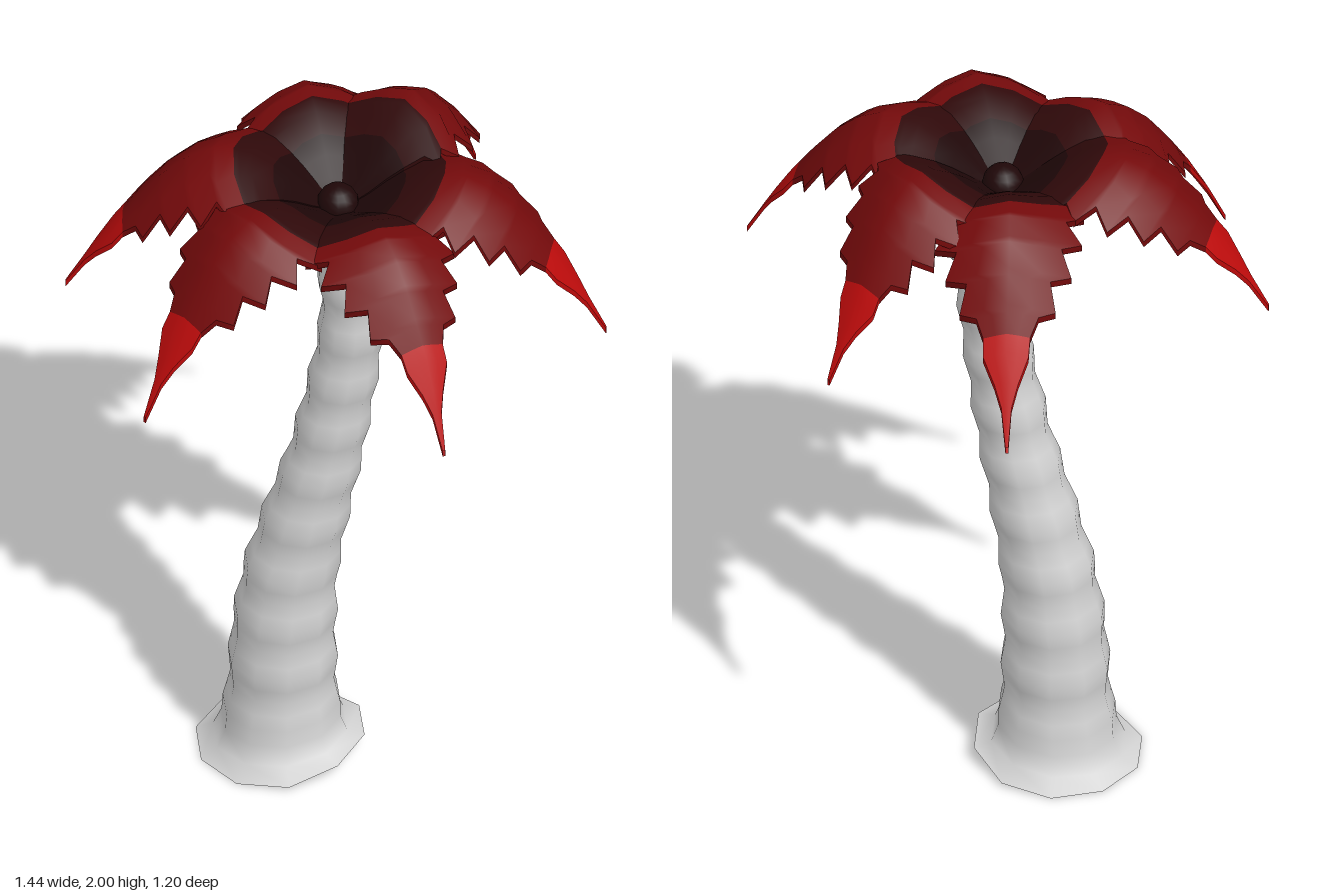
import * as THREE from 'three';

const mat = (name, color, side = THREE.FrontSide) => {
  const m = new THREE.MeshStandardMaterial({ color, side });
  m.name = name;
  return m;
};

// Piecewise linear lookup in [[x, v, w...], ...]
function lookup(table, x, k = 1) {
  for (let i = 1; i < table.length; i++) {
    const a = table[i - 1], b = table[i];
    if (x <= b[0]) return a[k] + (b[k] - a[k]) * Math.max(0, (x - a[0]) / (b[0] - a[0]));
  }
  return table[table.length - 1][k];
}

// Smooth skin over rows of points; zones gives a material index per row
function skin(rows, { wrap = false, zones = null } = {}) {
  const n = rows[0].length, idx = [];
  const geo = new THREE.BufferGeometry().setFromPoints(rows.flat());
  const cols = wrap ? n : n - 1;
  for (let i = 0; i < rows.length - 1; i++) {
    if (zones) geo.addGroup(idx.length, cols * 6, zones[i]);
    for (let j = 0; j < cols; j++) {
      const k = (j + 1) % n;
      const a = i * n + j, b = i * n + k, c = a + n, d = b + n;
      idx.push(a, b, c, b, d, c);
    }
  }
  geo.setIndex(idx);
  geo.computeVertexNormals();
  return geo;
}

// Trunk centre line: height, x, radius
const TRUNK = [
  [0, -0.16, 0.23], [0.04, -0.16, 0.183], [0.1, -0.157, 0.158], [0.2, -0.155, 0.148],
  [0.4, -0.15, 0.14], [0.6, -0.13, 0.126], [0.8, -0.085, 0.113], [1.0, -0.035, 0.1],
  [1.2, 0.003, 0.093], [1.4, 0.034, 0.088], [1.55, 0.04, 0.088], [1.65, 0.026, 0.09], [1.75, 0.0, 0.085],
];
const TRUNK_Z = 0.05;

function trunkRing(y, bump) {
  const cx = lookup(TRUNK, y, 1), r = lookup(TRUNK, y, 2) + bump;
  const tilt = y < 0.5 ? 0.1 * (1 - y / 0.5) : y > 1.6 ? 0.12 * (y - 1.6) / 0.15 : 0;
  return Array.from({ length: 10 }, (_, j) => {
    const a = -j / 10 * Math.PI * 2;
    const dx = r * Math.cos(a);
    // the foot lies flat, with its right side lifted
    const rise = y === 0 ? 0.25 * Math.max(0, dx - 0.03) : tilt * dx;
    return new THREE.Vector3(cx + dx, y + rise, TRUNK_Z + r * Math.sin(a));
  });
}

function buildTrunk(material) {
  const g = new THREE.Group();
  g.name = 'trunk';
  const rows = [trunkRing(0, 0), trunkRing(0.04, 0), trunkRing(0.09, 0)];
  for (let y = 0.14; y < 1.75; y += 0.04) {
    rows.push(trunkRing(y, 0.006 * Math.cos((y - 0.3) / 0.16 * Math.PI * 2)));
  }
  rows.push(trunkRing(1.75, 0));
  const bark = new THREE.Mesh(skin(rows, { wrap: true }), material);
  bark.name = 'ringedBark';
  g.add(bark);
  // Flat ends
  [[rows[0], true, 'trunkBottom'], [rows[rows.length - 1], false, 'trunkTop']].forEach(([ring, down, name]) => {
    const geo = new THREE.BufferGeometry().setFromPoints(ring);
    const idx = [];
    for (let j = 1; j < ring.length - 1; j++) idx.push(0, ...(down ? [j + 1, j] : [j, j + 1]));
    geo.setIndex(idx);
    geo.computeVertexNormals();
    const cap = new THREE.Mesh(geo, material);
    cap.name = name;
    g.add(cap);
  });
  return g;
}

// Leaf arch: distance from the crown centre, height
const ARCH = [
  [0.02, 1.81], [0.08, 1.85], [0.13, 1.89], [0.18, 1.925], [0.23, 1.955], [0.29, 1.972], [0.34, 1.97],
  [0.40, 1.942], [0.45, 1.905], [0.50, 1.848], [0.55, 1.782], [0.60, 1.71], [0.65, 1.628], [0.72, 1.5],
];
// Leaf outline: distance, half width, material zone up to the next point
const OUTLINE = [
  [0.02, 0.012, 0], [0.08, 0.05, 0], [0.13, 0.08, 0], [0.178, 0.11, 1], [0.235, 0.145, 1],
  [0.272, 0.2, 1], [0.285, 0.17, 2], [0.335, 0.22, 2], [0.347, 0.16, 2], [0.402, 0.208, 2], [0.415, 0.145, 2],
  [0.468, 0.175, 2], [0.48, 0.115, 2], [0.528, 0.132, 2], [0.54, 0.085, 2], [0.572, 0.064, 3],
  [0.6, 0.062, 3], [0.64, 0.032, 3], [0.67, 0.014, 3], [0.72, 0.004, 3],
];
const CROWN = { x: 0, z: 0.04 };

function buildLeaf([tipX, tipY, tipZ, lift], index, materials) {
  const base = index * Math.PI / 3;
  const turn = Math.atan2(tipZ - CROWN.z, tipX - CROWN.x) - base;
  const bend = Math.atan2(Math.sin(turn), Math.cos(turn));
  const reach = Math.hypot(tipX - CROWN.x, tipZ - CROWN.z);
  const point = (rho, w, u, drop) => {
    const s = Math.max(0, (rho - 0.29) / 0.43);
    const r = rho < 0.29 ? rho : 0.29 + s * (reach - 0.29);
    const a = base + bend * Math.min(1, rho / 0.6) + u * w / rho;
    const y = lookup(ARCH, rho) + lift * Math.min(1, rho / 0.29) * (1 - s) + (tipY - 1.5) * s * s;
    const droop = 0.075 * (Math.abs(u) * w / 0.2) ** 1.3;
    return new THREE.Vector3(CROWN.x + r * Math.cos(a), y - drop - droop, CROWN.z + r * Math.sin(a));
  };
  const zones = OUTLINE.map(o => o[2]);
  const U = [-1, -0.5, 0, 0.5, 1], THICK = 0.018;
  const sheet = (us, drop) => OUTLINE.map(([r, w]) => us.map(u => point(r, w, u, drop)));
  const rim = u => OUTLINE.map(([r, w]) => [point(r, w, u, 0), point(r, w, u, THICK)]);
  const leaf = new THREE.Group();
  leaf.name = 'leaf';
  const parts = {
    leafTop: sheet(U, 0),
    leafUnderside: sheet([...U].reverse(), THICK),
    leafRimLeft: rim(1),
    leafRimRight: rim(-1).map(p => p.reverse()),
  };
  for (const [name, rows] of Object.entries(parts)) {
    const mesh = new THREE.Mesh(skin(rows, { zones }), materials);
    mesh.name = name;
    leaf.add(mesh);
  }
  return leaf;
}

export function createModel() {
  const model = new THREE.Group();
  model.name = 'palmTree';
  const bark = mat('paleGrey', 0xd2d2d2);
  const leafMats = [
    mat('leafCore', 0x1f0708, THREE.DoubleSide),
    mat('leafInner', 0x2f090a, THREE.DoubleSide),
    mat('leafRed', 0x740a0b, THREE.DoubleSide),
    mat('leafTipRed', 0xbc0b0b, THREE.DoubleSide),
  ];

  model.add(buildTrunk(bark));

  // Coconuts hanging below the crown
  [[0.08, 1.66, 0.105], [0.085, 1.64, -0.025], [0.0, 1.65, -0.045]].forEach(p => {
    const nut = new THREE.Mesh(new THREE.SphereGeometry(0.044, 14, 10), bark);
    nut.scale.y = 1.25;
    nut.position.set(...p);
    nut.name = 'coconut';
    model.add(nut);
  });

  // Six leaves, evenly set: tip position and lift of the arch
  const crown = new THREE.Group();
  crown.name = 'crown';
  [
    [0.72, 1.5, 0.01, -0.005], [0.4, 1.46, 0.575, -0.025], [-0.41, 1.46, 0.6, -0.025],
    [-0.72, 1.54, 0.165, 0.01], [-0.285, 1.46, -0.6, 0.0], [0.23, 1.54, -0.6, 0.028],
  ].forEach((tip, i) => crown.add(buildLeaf(tip, i, leafMats)));

  // Bud in the middle of the crown
  const bud = new THREE.Mesh(new THREE.SphereGeometry(0.056, 14, 10), leafMats[0]);
  bud.position.set(-0.005, 1.825, CROWN.z);
  bud.name = 'bud';
  crown.add(bud);
  model.add(crown);
  return model;
}
